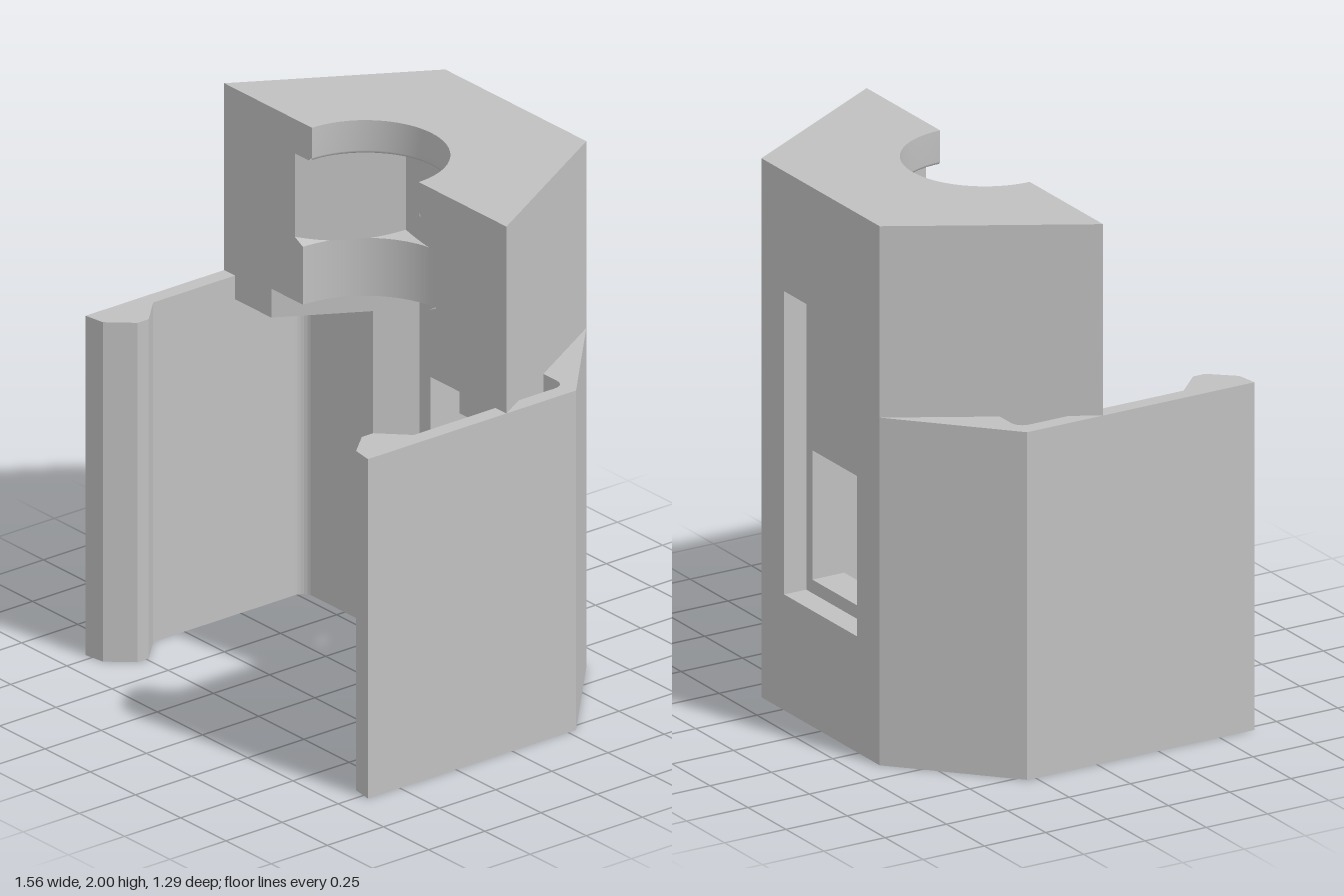
import * as THREE from 'three';

export function createModel() {
  const group = new THREE.Group();
  const grey = new THREE.MeshStandardMaterial({ color: 0xc0c0c0, side: THREE.DoubleSide });
  grey.name = 'plain grey';

  const add = (name, geometry) => {
    const mesh = new THREE.Mesh(geometry, grey);
    mesh.name = name;
    group.add(mesh);
    return mesh;
  };

  // Flat-shaded band between two polylines of [x, y, z] points
  const strip = (name, a, b) => {
    const pos = [];
    for (let i = 0; i < a.length - 1; i++) {
      pos.push(...a[i], ...b[i], ...b[i + 1], ...a[i], ...b[i + 1], ...a[i + 1]);
    }
    const g = new THREE.BufferGeometry();
    g.setAttribute('position', new THREE.Float32BufferAttribute(pos, 3));
    g.computeVertexNormals();
    return add(name, g);
  };
  // Upright wall over a plan path of [x, z] points
  const wall = (name, path, y0, y1) =>
    strip(name, path.map(([x, z]) => [x, y0, z]), path.map(([x, z]) => [x, y1, z]));

  const shapeOf = (pts) => new THREE.Shape(pts.map(([x, y]) => new THREE.Vector2(x, y)));
  // Level face from a plan outline
  const cap = (name, pts, y, up) => {
    const g = new THREE.ShapeGeometry(shapeOf(pts.map(([x, z]) => [x, up ? -z : z])));
    g.rotateX(up ? -Math.PI / 2 : Math.PI / 2);
    g.translate(0, y, 0);
    return add(name, g);
  };
  // Upright face at depth z, with an optional hole
  const panel = (name, pts, z, hole, back) => {
    const shape = shapeOf(pts);
    if (hole) shape.holes.push(shapeOf(hole));
    const g = new THREE.ShapeGeometry(shape);
    if (back) g.rotateY(Math.PI);
    g.translate(0, 0, z);
    return add(name, g);
  };
  const rect = (w, y0, y1) => [[-w, y0], [w, y0], [w, y1], [-w, y1]];
  const tunnel = (name, r, z0, z1) => {
    const loop = [...r, r[0]];
    return strip(name, loop.map(([x, y]) => [x, y, z0]), loop.map(([x, y]) => [x, y, z1]));
  };
  const side = (pts, s) => {
    const p = pts.map(([x, z]) => [x * s, z]);
    return s < 0 ? p.reverse() : p;
  };

  const FRONT = 0.025, BACK = -0.645, SHELF = -0.285, TOP = 2;
  const CLIP_TOP = 1.29, BODY_BOTTOM = 1.2;
  const APOTHEM = Math.sqrt(3) / 2;

  // Rear half circle or half hexagon around the bore axis, running right to left
  const arc = (r, n = 48) => Array.from({ length: n + 1 }, (_, i) => {
    const t = (i / n) * Math.PI;
    return [r * Math.cos(t), FRONT - r * Math.sin(t)];
  });
  const hex = (r) => arc(r, 3);

  // Clip plan, right half: back corner, arm, hook, inner corner fillet
  const fillet = Array.from({ length: 7 }, (_, i) => {
    const t = (i / 6) * Math.PI / 2;
    return [0.675 + 0.045 * Math.cos(t), SHELF + 0.045 - 0.045 * Math.sin(t)];
  });
  const arm = [[0.39, BACK], [0.78, SHELF], [0.78, 0.642], [0.7, 0.63], [0.62, 0.54],
    [0.62, 0.49], [0.72, 0.39], ...fillet];
  const hexBack = FRONT - 0.52 * APOTHEM;
  const hexShelfX = 0.26 + (SHELF - hexBack) / Math.sqrt(3);
  const bodySideX = 0.39 + 0.39 * (SHELF - BACK) / (FRONT - BACK);
  const channel = [[hexShelfX, SHELF], [0.26, hexBack]];

  for (const s of [1, -1]) {
    const tag = s > 0 ? 'left' : 'right';
    // Clip arms
    wall(tag + 'ClipArm', side([...arm, channel[0]], s), 0, CLIP_TOP);
    cap(tag + 'ClipTop', side([...arm, [bodySideX, SHELF]], s), CLIP_TOP, true);
    // Hexagonal channel sides
    wall(tag + 'ChannelSide', side(channel, s), 0, 1.31);
    wall(tag + 'SeatSide', side([[0.52, FRONT], channel[0]], s), BODY_BOTTOM, 1.31);
    // Upper body side, underside and cut front face
    wall(tag + 'BodySide', side([[0.39, BACK], [0.78, FRONT]], s), BODY_BOTTOM, TOP);
    cap(tag + 'BodyUnderside', side([channel[0], [bodySideX, SHELF], [0.78, FRONT], [0.52, FRONT]], s),
      BODY_BOTTOM, false);
    panel(tag + 'BodyFront', side([[0.78, BODY_BOTTOM], [0.78, TOP], [0.295, TOP], [0.295, 1.885],
      [0.31, 1.87], [0.39, 1.87], [0.39, 1.553], [0.345, 1.53], [0.345, 1.31], [0.52, 1.31],
      [0.52, BODY_BOTTOM]], s), FRONT);
  }

  // Bottom of the clip and top of the body
  const bottom = [...arm, ...channel];
  cap('clipBottom', [...bottom, ...side(bottom, -1)], 0, false);
  cap('bodyTop', [[0.78, FRONT], [0.39, BACK], [-0.39, BACK], [-0.78, FRONT], ...arc(0.295).reverse()], TOP, true);

  // Back wall with a stepped window
  const recess = rect(0.24, 0.43, 1.555), opening = rect(0.2, 0.48, 0.96);
  const recessZ = -0.555;
  panel('backWall', rect(0.39, 0, TOP), BACK, recess, true);
  tunnel('recessSides', recess, BACK, recessZ);
  panel('recessFloor', recess, recessZ, opening, true);
  tunnel('windowSides', opening, recessZ, hexBack);
  panel('channelBack', rect(0.26, 0, 1.31), hexBack, opening);

  // Seat ceiling and lower round bore
  cap('seatCeiling', [...hex(0.52), ...arc(0.345).reverse()], 1.31, false);
  const bore = (name, profile) => {
    const g = new THREE.LatheGeometry(profile.map(([r, y]) => new THREE.Vector2(r, y)), 48, Math.PI / 2, Math.PI);
    g.translate(0, 0, FRONT);
    add(name, g);
  };
  bore('lowerBore', [[0.345, 1.31], [0.345, 1.53]]);

  // Nut pocket with a conical chamfer below its corners
  const inner = [], rim = [], roof = [];
  for (let i = 0; i <= 48; i++) {
    const t = (i / 48) * Math.PI;
    const r = 0.39 * APOTHEM / Math.cos((t % (Math.PI / 3)) - Math.PI / 6);
    const at = (q, y) => [q * Math.cos(t), y, FRONT - q * Math.sin(t)];
    inner.push(at(0.345, 1.53));
    rim.push(at(r, 1.53 + Math.max(0, r - 0.345) * 0.5));
    roof.push(at(r, 1.87));
  }
  strip('nutPocketChamfer', rim, inner);
  strip('nutPocketSides', rim, roof);
  cap('nutPocketRoof', [...hex(0.39), ...arc(0.31).reverse()], 1.87, false);

  // Upper bore with a rounded lower lip
  bore('upperBore', [[0.31, 1.87], [0.3, 1.875], [0.295, 1.885], [0.295, TOP]]);

  return group;
}
